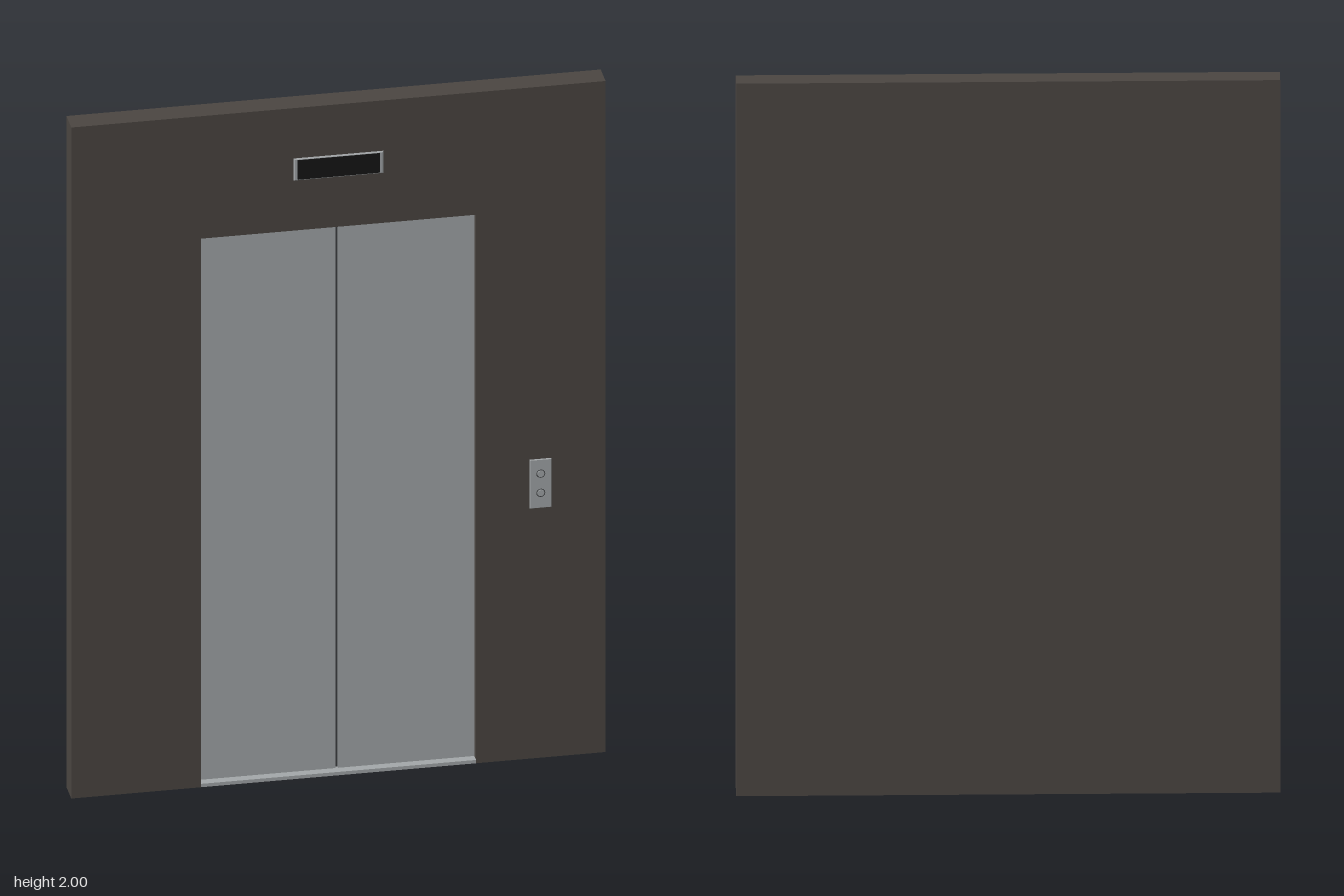
import * as THREE from 'three';

const W = 1.446, H = 2, BACK = -0.037, FRONT = 0.032; // wall extents
const DW = 0.745, DH = 1.635;                         // door opening
const DOOR_Z = 0.008, T = 0.008;                      // door face, shell thickness

const paint = (color) => new THREE.MeshStandardMaterial({ color });

export function createModel() {
  const root = new THREE.Group();
  const wall = paint(0x4a4541), steel = paint(0xa2a6a8);
  const dark = paint(0x151515), seam = paint(0x3c3e40);

  function add(parent, name, geometry, material, x = 0, y = 0, z = 0) {
    const mesh = new THREE.Mesh(geometry, material);
    mesh.name = name;
    mesh.position.set(x, y, z);
    parent.add(mesh);
    return mesh;
  }
  // Box given by its extents
  function block(parent, name, material, x0, x1, y0, y1, z0, z1) {
    return add(parent, name, new THREE.BoxGeometry(x1 - x0, y1 - y0, z1 - z0), material,
      (x0 + x1) / 2, (y0 + y1) / 2, (z0 + z1) / 2);
  }
  // Box whose front face is inset, giving a bevelled plate
  function plate(w, h, d, inset) {
    const g = new THREE.BoxGeometry(w, h, d).toNonIndexed();
    const p = g.attributes.position;
    for (let i = 0; i < p.count; i++) {
      if (p.getZ(i) > 0) {
        p.setX(i, p.getX(i) - Math.sign(p.getX(i)) * inset);
        p.setY(i, p.getY(i) - Math.sign(p.getY(i)) * inset);
      }
    }
    g.computeVertexNormals();
    return g;
  }

  // Wall: front panel notched for the doorway, with a shell behind open underneath
  const surround = new THREE.Group();
  surround.name = 'wall';
  root.add(surround);
  const w = W / 2, d = DW / 2;
  const outline = new THREE.Shape([
    [-w, 0], [-d, 0], [-d, DH], [d, DH], [d, 0], [w, 0], [w, H], [-w, H],
  ].map(([x, y]) => new THREE.Vector2(x, y)));
  const depth = FRONT - DOOR_Z + 0.004;
  add(surround, 'frontPanel', new THREE.ExtrudeGeometry(outline, { depth, bevelEnabled: false }),
    wall, 0, 0, FRONT - depth);
  const inner = FRONT - depth;
  block(surround, 'backPanel', wall, -w, w, 0, H, BACK, BACK + T);
  block(surround, 'topPanel', wall, -w, w, H - T, H, BACK + T, inner);
  for (const s of [-1, 1]) {
    const a = s * w, b = s * (w - T);
    block(surround, 'sidePanel', wall, Math.min(a, b), Math.max(a, b), 0, H - T, BACK + T, inner);
  }

  // Sliding doors with a dark seam between them, standing on the sill
  const doors = new THREE.Group();
  doors.name = 'doors';
  root.add(doors);
  const gap = 0.003, sill = 0.01;
  for (const s of [-1, 1]) {
    const a = s * gap, b = s * (d + 0.005);
    block(doors, s > 0 ? 'leftDoor' : 'rightDoor', steel,
      Math.min(a, b), Math.max(a, b), sill, DH + 0.005, DOOR_Z - 0.02, DOOR_Z);
  }
  block(doors, 'doorSeam', seam, -gap, gap, sill, DH, DOOR_Z - 0.018, DOOR_Z - 0.008);
  block(root, 'sill', steel, -d, d, 0, sill, BACK + T, FRONT);

  // Floor indicator above the doorway
  const indicator = new THREE.Group();
  indicator.name = 'floorIndicator';
  indicator.position.set(0, 1.817, FRONT);
  root.add(indicator);
  add(indicator, 'indicatorFrame', plate(0.243, 0.066, 0.004, 0.003), steel, 0, 0, 0.002);
  add(indicator, 'indicatorScreen', new THREE.BoxGeometry(0.222, 0.058, 0.003), dark, 0, 0, 0.0035);

  // Call panel with two round buttons
  const panel = new THREE.Group();
  panel.name = 'callPanel';
  panel.position.set(0.547, 0.818, FRONT);
  root.add(panel);
  add(panel, 'panelPlate', plate(0.06, 0.146, 0.003, 0.002), steel, 0, 0, 0.0015);
  for (const y of [0.03, -0.027]) {
    const ring = add(panel, 'buttonRing', new THREE.TorusGeometry(0.011, 0.0012, 6, 24), seam, 0, y, 0.003);
    ring.scale.z = 0.6;
    const button = add(panel, 'callButton', new THREE.CylinderGeometry(0.009, 0.01, 0.003, 24), steel, 0, y, 0.0038);
    button.rotation.x = Math.PI / 2;
  }
  return root;
}
